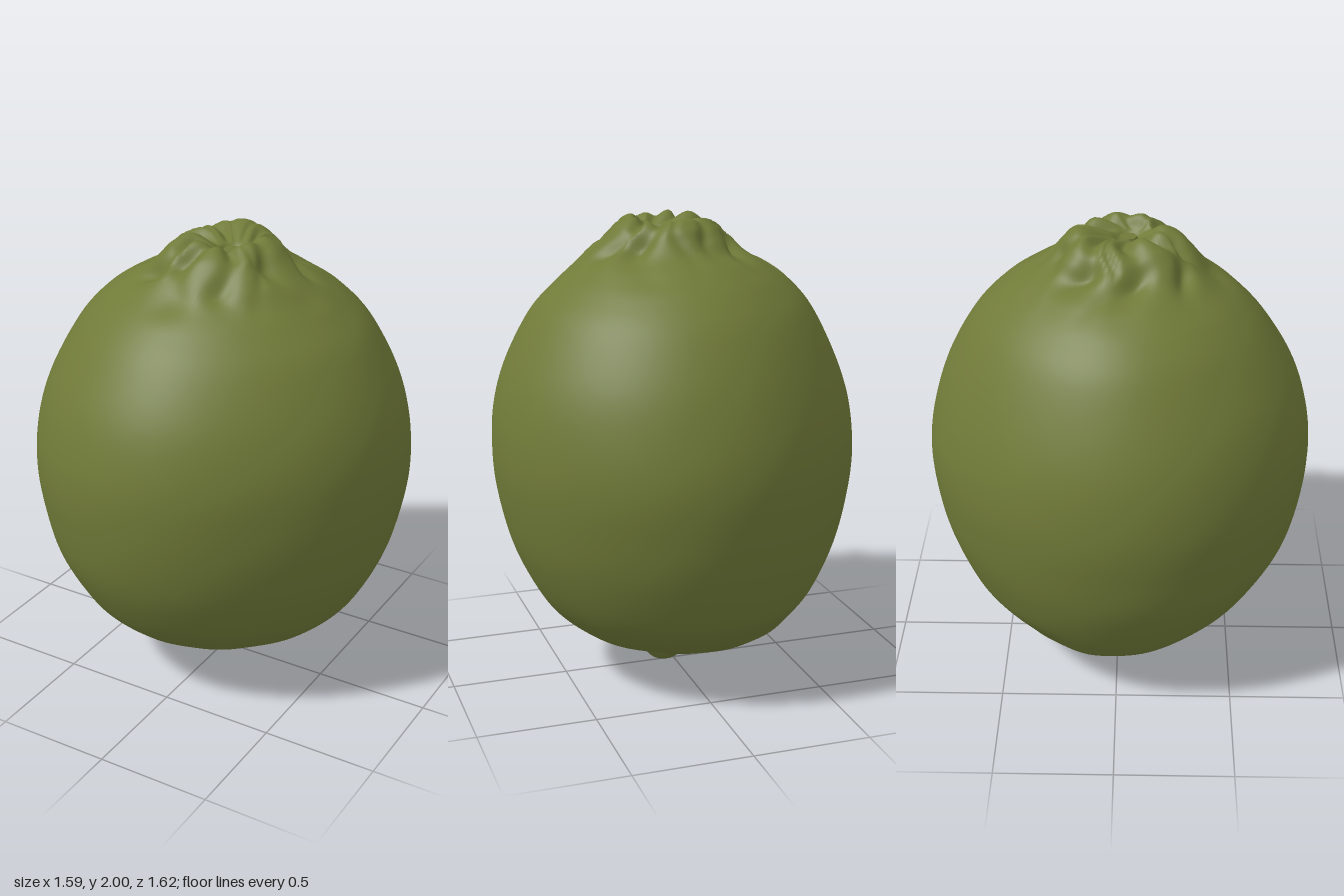
import * as THREE from 'three';

// Cross-sections, bottom to top: [y, xMin, xMax, zMin, zMax]
const SECTIONS = [
  [0.00, 0.05, 0.05, 0.00, 0.00],
  [0.02, -0.01, 0.10, -0.05, 0.05],
  [0.06, -0.06, 0.14, -0.10, 0.10],
  [0.10, -0.25, 0.18, -0.15, 0.14],
  [0.14, -0.38, 0.25, -0.29, 0.24],
  [0.20, -0.48, 0.39, -0.43, 0.37],
  [0.28, -0.56, 0.51, -0.54, 0.49],
  [0.40, -0.64, 0.61, -0.65, 0.61],
  [0.60, -0.73, 0.71, -0.74, 0.725],
  [0.80, -0.775, 0.765, -0.79, 0.785],
  [1.00, -0.795, 0.79, -0.81, 0.81],
  [1.20, -0.775, 0.78, -0.785, 0.80],
  [1.40, -0.71, 0.725, -0.72, 0.74],
  [1.60, -0.605, 0.62, -0.61, 0.62],
  [1.72, -0.50, 0.51, -0.50, 0.51],
  [1.80, -0.395, 0.42, -0.395, 0.41],
  [1.86, -0.30, 0.35, -0.30, 0.35],
  [1.92, -0.245, 0.285, -0.25, 0.30],
  [1.97, -0.19, 0.235, -0.21, 0.25],
  [1.998, -0.11, 0.17, -0.15, 0.18],
  [1.95, -0.01, 0.13, -0.04, 0.12],
  [1.92, 0.02, 0.10, 0.00, 0.08],
  [1.92, 0.06, 0.06, 0.04, 0.04],
];

// Crown grooves: [angle in degrees from +x towards +z, half width, depth]
const GROOVES = [
  [12, 11, 0.8], [34, 6, 0.4], [58, 10, 0.8], [100, 11, 1], [128, 9, 0.9], [172, 12, 1],
  [192, 6, 0.4], [216, 11, 1], [245, 8, 0.5], [275, 6, 0.3], [308, 12, 1], [335, 8, 0.7],
];

const smooth = THREE.MathUtils.smoothstep;

// Grooves wander sideways and come and go along their length
function grooveDepth(angle, row) {
  let depth = 0;
  for (const [at, width, amount] of GROOVES) {
    let d = THREE.MathUtils.radToDeg(angle) - at + 7 * Math.sin(row * 1.4 + at);
    d = THREE.MathUtils.euclideanModulo(d + 180, 360) - 180;
    const broken = 0.7 + 0.3 * Math.sin(row * 2.2 + at * 1.7);
    depth = Math.max(depth, amount * broken * Math.exp(-((d / width) ** 2)));
  }
  return depth;
}

function makeSkin() {
  const ROWS = 132, COLS = 120;
  const curve = (a, b) => new THREE.CatmullRomCurve3(
    SECTIONS.map((s) => new THREE.Vector3(s[0], s[a], s[b])), false, 'catmullrom', 0.5);
  const xs = curve(1, 2), zs = curve(3, 4);
  const positions = [], index = [];
  for (let i = 0; i <= ROWS; i++) {
    const t = i / ROWS, row = t * (SECTIONS.length - 1);
    const px = xs.getPoint(t), pz = zs.getPoint(t);
    const cx = (px.y + px.z) / 2, cz = (pz.y + pz.z) / 2;
    const rx = (px.z - px.y) / 2, rz = (pz.z - pz.y) / 2;
    // Crown folds fade out down the shoulder and into the central dip
    const crown = smooth(row, 14, 17.5) * (1 - smooth(row, 18.8, 20.4));
    const belly = smooth(row, 3, 6) * (1 - smooth(row, 14, 17));
    const base = smooth(row, 1, 3) * (1 - smooth(row, 5, 8));
    for (let j = 0; j < COLS; j++) {
      const a = (j / COLS) * Math.PI * 2;
      const groove = crown * grooveDepth(a, row);
      // Slightly oval across one diagonal, with fine dents and a puckered base
      const diagonal = Math.sin(2 * a);
      let k = 1 - 0.1 * groove;
      k -= belly * (0.03 * diagonal + 0.02 * diagonal ** 2);
      k += 0.002 * belly * Math.sin(5 * a + 1.3 * row) * Math.sin(3 * a - 2 * row);
      k += 0.012 * base * Math.sin(7 * a + 1.7 * row) * Math.sin(4 * a - row);
      const y = px.x - 0.05 * groove + 0.006 * crown * (Math.sin(3 * a + 1) - 1);
      positions.push(cx + rx * k * Math.cos(a), y, cz + rz * k * Math.sin(a));
      if (i < ROWS) {
        const p = i * COLS + j, q = i * COLS + ((j + 1) % COLS);
        index.push(p, p + COLS, q, q, p + COLS, q + COLS);
      }
    }
  }
  const geometry = new THREE.BufferGeometry();
  geometry.setAttribute('position', new THREE.Float32BufferAttribute(positions, 3));
  geometry.setIndex(index);
  geometry.computeVertexNormals();
  return geometry;
}

export function createModel() {
  const green = new THREE.MeshStandardMaterial({ color: 0x707a38 });
  green.name = 'lime green';
  const model = new THREE.Group();
  model.name = 'lime';

  const skin = new THREE.Mesh(makeSkin(), green);
  skin.name = 'skin';
  model.add(skin);

  // Small scar where the stem broke off, set in the crown's dip
  const scar = new THREE.Mesh(new THREE.CylinderGeometry(0.036, 0.045, 0.03, 7), green);
  scar.name = 'stemScar';
  scar.position.set(0.06, 1.925, 0.04);
  model.add(scar);
  return model;
}
